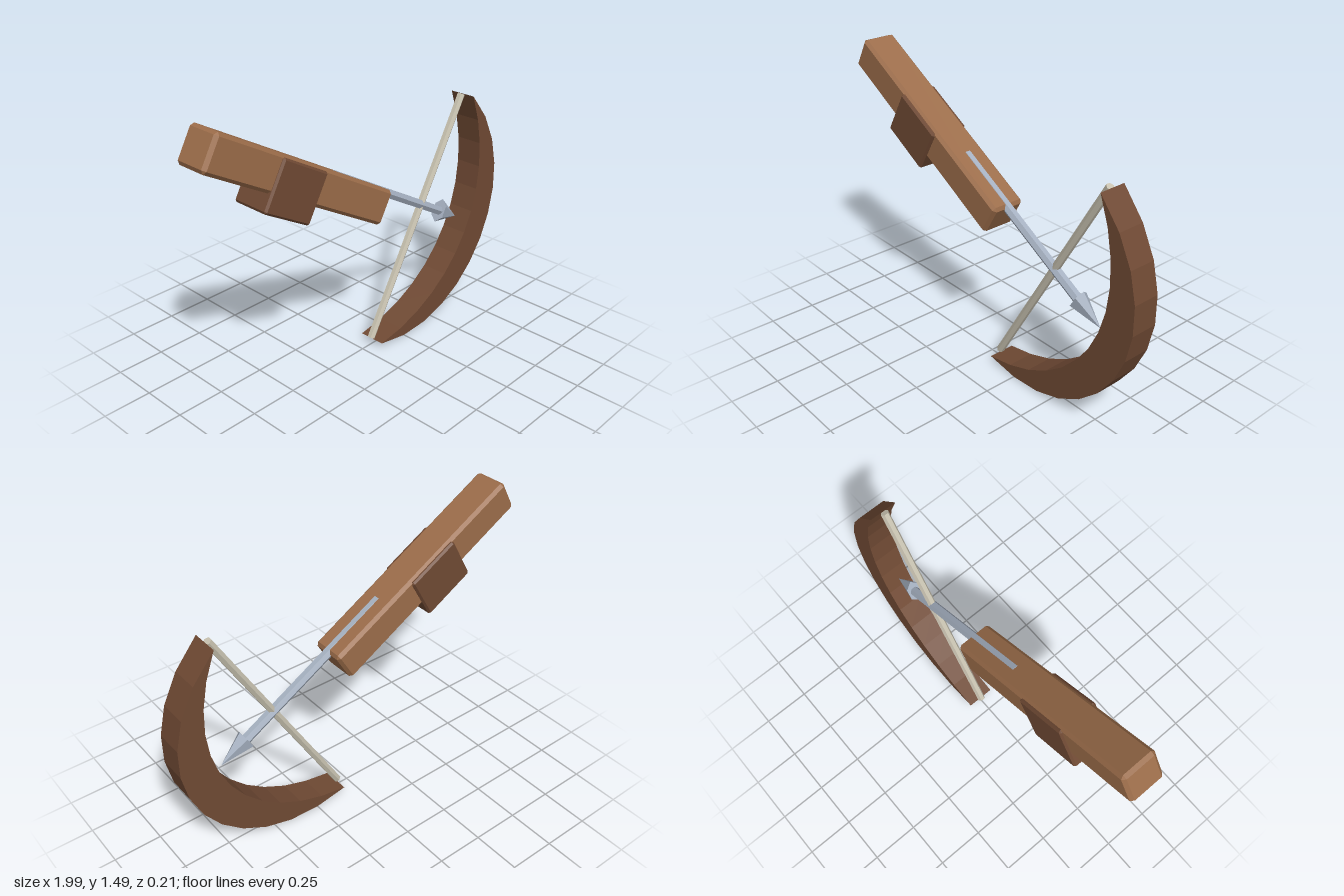
import * as THREE from 'three';
import { ConvexGeometry } from 'three/addons/geometries/ConvexGeometry.js';

const paint = (name, color) => {
  const m = new THREE.MeshStandardMaterial({ color });
  m.name = name;
  return m;
};

// Faceted normals for low-poly parts
function faceted(geometry) {
  const g = geometry.toNonIndexed();
  g.computeVertexNormals();
  return g;
}

// Box with every edge and corner cut by c
function chamferBox(w, h, d, c) {
  const points = [];
  for (const x of [-1, 1]) for (const y of [-1, 1]) for (const z of [-1, 1]) {
    for (let axis = 0; axis < 3; axis++) {
      const half = [w / 2, h / 2, d / 2].map((s, i) => (i === axis ? s : s - c));
      points.push(new THREE.Vector3(x * half[0], y * half[1], z * half[2]));
    }
  }
  return new ConvexGeometry(points);
}

export function createModel() {
  const lightWood = paint('light wood', 0x9c6d4a);
  const darkWood = paint('dark wood', 0x704a34);
  const steel = paint('steel', 0xa5b0c0);
  const cord = paint('cord', 0xc8c2b0);

  const model = new THREE.Group();
  model.name = 'crossbow';

  // Everything is laid out along +x, then tipped 30 degrees nose down
  const weapon = new THREE.Group();
  weapon.name = 'tiltedWeapon';
  weapon.rotation.z = -Math.PI / 6;
  model.add(weapon);

  const add = (name, geometry, material, x, y) => {
    const mesh = new THREE.Mesh(geometry, material);
    mesh.name = name;
    mesh.position.set(x, y, 0);
    weapon.add(mesh);
  };
  const axisY = 0.775;

  // Stock and grip block
  add('stock', chamferBox(1.2, 0.18, 0.182, 0.016), lightWood, -0.953, axisY);
  add('gripBlock', chamferBox(0.297, 0.256, 0.207, 0.01), darkWood, -1.014, 0.725);

  // Crescent bow: outer curve down, inner curve back up
  const crescent = new THREE.Shape();
  crescent.moveTo(0.035, -0.69);
  crescent.bezierCurveTo(0.78, -0.5, 0.78, 0.5, 0.035, 0.69);
  crescent.bezierCurveTo(0.538, 0.32, 0.538, -0.32, 0.035, -0.69);
  const bow = new THREE.ExtrudeGeometry(crescent, { depth: 0.144, bevelEnabled: false, curveSegments: 12 });
  bow.translate(0, 0, -0.072);
  add('bow', bow, darkWood, 0, axisY);

  // Bowstring between the tips
  add('bowstring', faceted(new THREE.CylinderGeometry(0.021, 0.021, 1.37, 6)), cord, 0.025, axisY);

  // Bolt: hexagonal shaft and flattened head
  const shaft = new THREE.CylinderGeometry(0.026, 0.026, 0.93, 6).rotateZ(-Math.PI / 2);
  add('boltShaft', faceted(shaft), steel, -0.248, 0.845);
  const head = new THREE.ConeGeometry(0.065, 0.17, 6).rotateY(Math.PI / 6).rotateZ(-Math.PI / 2).scale(1, 1, 0.65);
  add('boltHead', faceted(head), steel, 0.291, 0.845);

  return model;
}
